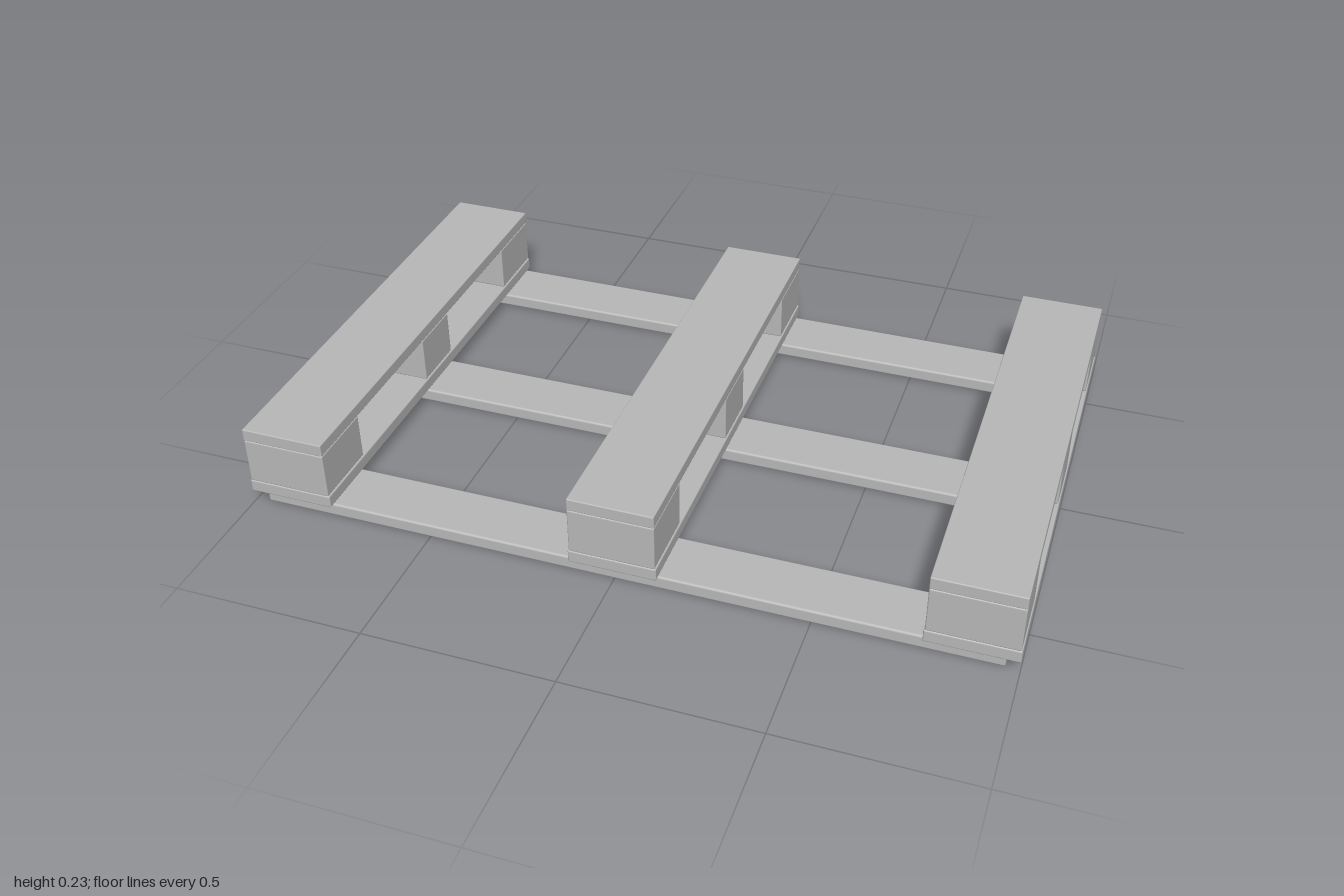
import * as THREE from 'three';
import { RoundedBoxGeometry } from 'three/addons/geometries/RoundedBoxGeometry.js';

export function createModel() {
  const pallet = new THREE.Group();
  pallet.name = 'pallet';

  const wood = new THREE.MeshStandardMaterial({ color: 0xb8b8b8 });
  wood.name = 'grey wood';

  // Softly rounded timber, placed by its centre in x and z and its bottom in y
  function timber(name, [w, h, d], [x, bottom, z], radius) {
    const mesh = new THREE.Mesh(new RoundedBoxGeometry(w, h, d, 2, radius), wood);
    mesh.name = name;
    mesh.position.set(x, bottom + h / 2, z);
    pallet.add(mesh);
  }

  // Bottom skids running left to right
  for (const z of [-0.546, 0, 0.546]) {
    timber('bottomSkid', [1.93, 0.037, 0.16], [0, 0, z], 0.006);
  }

  // Three stringers: lower board, spacer blocks and top board
  for (const side of [-1, 0, 1]) {
    timber('lowerBoard', [0.23, 0.035, 1.284], [side * 0.885, 0.037, 0], 0.004);

    for (const [z, depth] of [[-0.547, 0.19], [0, 0.16], [0.547, 0.19]]) {
      timber('spacerBlock', [0.224, 0.127, depth], [side * 0.885, 0.072, z], 0.004);
    }

    timber('topBoard', [0.224, 0.034, 1.284], [side * 0.885, 0.199, 0], 0.003);
  }

  return pallet;
}
